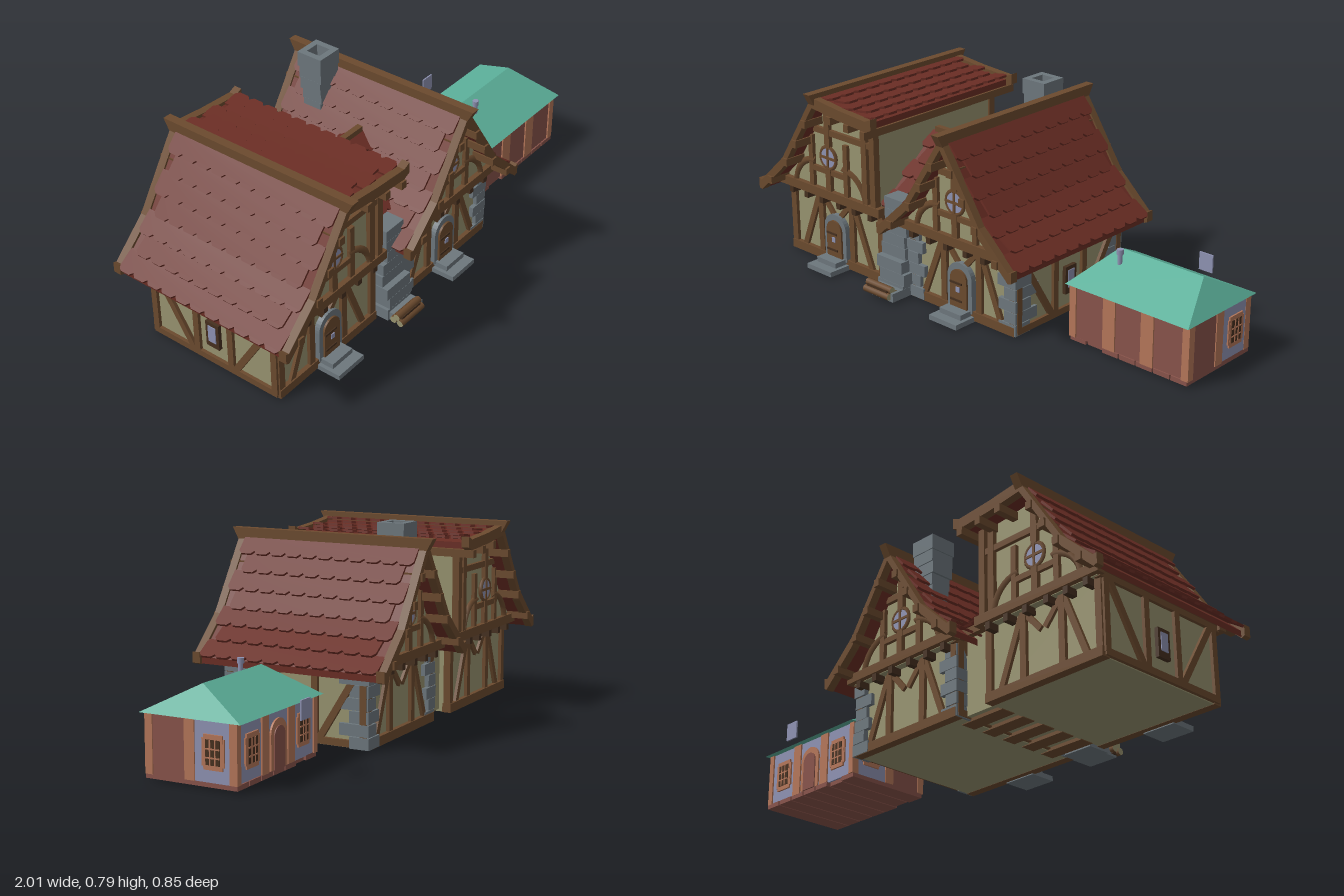
import * as THREE from 'three';

const mat = (name, color) => Object.assign(new THREE.MeshStandardMaterial({ color }), { name });
const M = {
  plaster: mat('plaster', 0x97936f), timber: mat('timber', 0x6b4a2e), dark: mat('darkWood', 0x46301f),
  tile: mat('roofTile', 0x6a2d24), stone: mat('stone', 0x6d777d), teal: mat('tealRoof', 0x5cb09a),
  lavender: mat('lavender', 0x8e92b2), clay: mat('clayTrim', 0xb47659), maroon: mat('maroon', 0x88534a),
};
let seed = 7;
const rnd = () => (seed = (seed * 16807) % 2147483647) / 2147483647;

function add(parent, name, geo, material, x = 0, y = 0, z = 0) {
  const m = new THREE.Mesh(geo, material);
  m.name = name;
  m.position.set(x, y, z);
  parent.add(m);
  return m;
}
const box = (p, name, m, w, h, d, x, y, z) => add(p, name, new THREE.BoxGeometry(w, h, d), m, x, y, z);
const group = (p, name, x = 0, y = 0, z = 0) => {
  const g = new THREE.Group();
  g.name = name;
  g.position.set(x, y, z);
  if (p) p.add(g);
  return g;
};
const poly = (pts) => new THREE.Shape(pts.map(([x, y]) => new THREE.Vector2(x, y)));
const extrude = (shape, depth) => new THREE.ExtrudeGeometry(shape, { depth, bevelEnabled: false, curveSegments: 8 });

// Square timber between two points
function beam(p, name, a, b, w = 0.028, m = M.timber) {
  const A = new THREE.Vector3(...a), B = new THREE.Vector3(...b), d = B.clone().sub(A);
  const k = box(p, name, m, w, d.length(), w, 0, 0, 0);
  k.position.copy(A).add(B).multiplyScalar(0.5);
  k.quaternion.setFromUnitVectors(new THREE.Vector3(0, 1, 0), d.normalize());
}

// Band that follows a roof profile, extruded along z
function band(p, name, m, path, s, thick, z, depth) {
  const pts = [...path, ...path.map(([x, y]) => [x, y - thick]).reverse()].map(([x, y]) => [s * x, y]);
  add(p, name, extrude(poly(pts), depth), m, 0, 0, z);
}

// Overlapping courses of scalloped tiles down one side of a roof
function roofSide(p, path, s, width, rows, cols) {
  band(p, 'roofDeck', M.tile, path, s, 0.025, -width / 2, width);
  const curve = new THREE.CurvePath();
  for (let i = 1; i < path.length; i++)
    curve.add(new THREE.LineCurve(new THREE.Vector2(...path[i - 1]), new THREE.Vector2(...path[i])));
  const t = width / cols;
  for (let r = 0; r < rows; r++) {
    const a = curve.getPointAt(r / rows), b = curve.getPointAt((r + 1) / rows);
    const n = cols - (r % 2), L = a.distanceTo(b), x0 = (-n * t) / 2;
    const pts = [[x0, 0], [x0, L]];
    for (let j = 0; j < n; j++) {
      const x = x0 + j * t;
      pts.push([x + t * 0.2, L + 0.014], [x + t * 0.8, L + 0.014], [x + t, L]);
    }
    pts.push([x0 + n * t, 0]);
    const nx = (a.y - b.y) / L, ny = (b.x - a.x) / L, lift = 0.013;
    const down = new THREE.Vector3(s * (b.x + nx * lift - a.x), b.y + ny * lift - a.y, 0).normalize();
    const u = new THREE.Vector3(0, 0, s), out = new THREE.Vector3().crossVectors(u, down);
    const k = add(p, 'tileCourse', extrude(poly(pts), 0.009), M.tile, s * a.x, a.y, 0);
    k.quaternion.setFromRotationMatrix(new THREE.Matrix4().makeBasis(u, down, out));
  }
}

function arch(w, h) {
  const s = new THREE.Shape(), r = w / 2;
  s.moveTo(-r, 0).lineTo(r, 0).lineTo(r, h - r);
  s.absarc(0, h - r, r, 0, Math.PI, false);
  return s.lineTo(-r, 0);
}

function door(p) {
  const g = group(p, 'frontDoor', 0, 0.03, 0.285);
  add(g, 'doorSurround', extrude(arch(0.125, 0.19), 0.022), M.stone);
  add(g, 'doorLeaf', extrude(arch(0.085, 0.165), 0.03), M.timber);
  for (const y of [0.04, 0.11]) box(g, 'hinge', M.dark, 0.06, 0.008, 0.006, -0.01, y, 0.031);
  box(g, 'doorWindow', M.lavender, 0.018, 0.02, 0.006, 0, 0.085, 0.031);
  box(g, 'lowerStep', M.stone, 0.14, 0.02, 0.11, 0, -0.02, 0.06);
  box(g, 'upperStep', M.stone, 0.11, 0.022, 0.07, 0, 0, 0.04);
}

// Half-timbered gable wall details on face z
function gableFrame(p, z, open) {
  const f = Math.sign(z), lo = f * 0.285, up = f * 0.318;
  const b = (x1, y1, x2, y2, zz, w) => beam(p, 'wallTimber', [x1, y1, zz], [x2, y2, zz], w);
  b(-0.27, 0.022, 0.27, 0.022, lo, 0.036);
  b(-0.29, 0.31, 0.29, 0.31, up, 0.036);
  b(-0.09, 0.405, 0.09, 0.405, up, 0.022);
  b(0, 0.3, 0, 0.42, up);
  b(0, 0.51, 0, 0.68, up);
  b(-0.08, 0.57, open ? 0.24 : 0.08, 0.57, up, 0.024);
  for (const s of [-1, 1]) {
    b(s * 0.09, 0.02, s * 0.09, 0.3, lo);
    b(s * 0.1, 0.28, s * 0.2, 0.03, lo, 0.025);
    b(s * 0.08, 0.28, s * 0.01, 0.2, lo, 0.022);
    b(s * 0.255, 0.02, s * 0.255, 0.3, lo);
    b(s * 0.1, 0.31, s * 0.1, 0.54, up, 0.024);
    const arc = add(p, 'curvedBrace', new THREE.TorusGeometry(0.125, 0.014, 4, 8, Math.PI / 2), M.timber, s * 0.08, 0.31, f * 0.322);
    if (s < 0) arc.rotation.z = Math.PI / 2;
    for (const x of [0.05, 0.14, 0.23]) box(p, 'joistEnd', M.dark, 0.022, 0.03, 0.05, s * x, 0.278, f * 0.305);
  }
  if (open) b(0.21, 0.31, 0.21, 0.67, up), b(0.255, 0.3, 0.255, 0.67, up);
  // round window
  const w = group(p, 'roundWindow', 0, 0.465, f * 0.325);
  add(w, 'glass', new THREE.CylinderGeometry(0.042, 0.042, 0.008, 16), M.lavender).rotation.x = Math.PI / 2;
  add(w, 'frame', new THREE.TorusGeometry(0.044, 0.009, 4, 16), M.timber);
  box(w, 'bar', M.timber, 0.085, 0.01, 0.016, 0, 0, 0);
  box(w, 'bar', M.timber, 0.01, 0.085, 0.016, 0, 0, 0);
}

// Long wall timbers on the side facing x
function sideFrame(p, x) {
  const b = (z1, y1, z2, y2) => beam(p, 'sideTimber', [x, y1, z1], [x, y2, z2], 0.026);
  b(-0.29, 0.022, 0.29, 0.022);
  b(-0.31, 0.3, 0.31, 0.3);
  for (const s of [-1, 1]) {
    b(s * 0.28, 0.02, s * 0.28, 0.3);
    b(s * 0.08, 0.02, s * 0.08, 0.3);
    b(s * 0.26, 0.29, s * 0.1, 0.03);
  }
  box(p, 'sideWindow', M.dark, 0.03, 0.11, 0.06, x, 0.14, 0);
  box(p, 'sideWindowGlass', M.lavender, 0.036, 0.07, 0.035, x, 0.145, 0);
}

const STEEP = [[0, 0.715], [0.19, 0.425], [0.33, 0.295]];
const FLAT = [[0, 0.715], [0.15, 0.698], [0.3, 0.688]];

function timberHouse(root, name, cx, open) {
  const g = group(root, name, cx);
  box(g, 'lowerWalls', M.plaster, 0.53, 0.3, 0.57, 0, 0.155, 0);
  const right = open ? [[0.26, 0.29], [0.26, 0.68]] : [[0.27, 0.29], [0.27, 0.33], [0.18, 0.42]];
  add(g, 'gableWalls', extrude(poly([[-0.18, 0.42], [-0.27, 0.33], [-0.27, 0.29], ...right, [0, 0.695]]), 0.63), M.plaster, 0, 0, -0.315);
  for (const z of [-1, 1]) gableFrame(g, z, open);
  for (const s of [-1, 1]) {
    const path = open && s > 0 ? FLAT : STEEP, flat = path === FLAT;
    roofSide(g, path, s, 0.74, flat ? 5 : 7, 11);
    const edge = [...path.map(([x, y]) => [x, y + 0.014]), flat ? [0.33, 0.715] : [0.345, 0.315]];
    for (const z of [-0.4, 0.368]) band(g, 'bargeboard', M.timber, edge, s, 0.042, z, 0.032);
    // purlins poking past the gables
    const spots = flat ? [[0.1, 0.66], [0.2, 0.652], [0.29, 0.645]] : [[0.05, 0.61], [0.11, 0.515], [0.17, 0.425], [0.27, 0.325]];
    for (const [x, y] of spots) box(g, 'purlin', M.timber, 0.026, 0.03, 0.815, s * x, y, 0);
    if (!(open && s > 0)) sideFrame(g, s * 0.265);
  }
  const ridge = extrude(poly([[-0.425, 0.746], [-0.4, 0.7], [0.4, 0.7], [0.425, 0.746]]), 0.034);
  add(g, 'ridgeBeam', ridge, M.timber, 0.017, 0, 0).rotation.y = -Math.PI / 2;
  door(g);
  return g;
}

function cornerStones(g) {
  for (const sx of [-1, 1]) for (const sz of [-1, 1]) for (let i = 0; i < 6; i++) {
    const w = (i % 2 ? 0.055 : 0.08) + rnd() * 0.01, d = (i % 2 ? 0.11 : 0.075) + rnd() * 0.015, o = rnd() * 0.008;
    box(g, 'cornerStone', M.stone, w, 0.044, d, sx * (0.273 + o - w / 2), 0.028 + i * 0.047, sz * (0.298 + o - d / 2));
  }
}

function chimney(g) {
  const c = group(g, 'chimney', -0.075, 0, -0.235);
  for (let i = 0; i < 5; i++) {
    const w = 0.075 + i * 0.007;
    box(c, 'chimneyStone', M.stone, w, 0.05, w, (rnd() - 0.5) * 0.012, 0.52 + i * 0.047, 0);
  }
  const s = poly([[-0.055, -0.055], [0.055, -0.055], [0.055, 0.055], [-0.055, 0.055]]);
  s.holes.push(poly([[-0.03, -0.03], [-0.03, 0.03], [0.03, 0.03], [0.03, -0.03]]));
  add(c, 'chimneyTop', extrude(s, 0.06), M.stone, 0, 0.732, 0).rotation.x = -Math.PI / 2;
}

function link(root) {
  const g = group(root, 'linkBuilding', -0.3);
  box(g, 'linkWalls', M.plaster, 0.2, 0.32, 0.5, 0, 0.175, 0);
  for (const z of [-0.2, -0.1, 0, 0.1, 0.2]) box(g, 'floorPlank', M.timber, 0.2, 0.02, 0.06, 0, 0.012, z);
  const r = group(g, 'linkRoof', 0.06);
  r.rotation.y = Math.PI / 2;
  for (const s of [-1, 1]) {
    roofSide(r, [[0, 0.555], [0.28, 0.325]], s, 0.32, 5, 5);
    box(r, 'eaveBeam', M.timber, 0.024, 0.03, 0.19, s * 0.28, 0.315, -0.045);
  }
  box(r, 'linkRidge', M.timber, 0.024, 0.03, 0.29, 0, 0.565, 0.0);
  // stone stack, hearth slab and log pile at the front
  for (let i = 0; i < 8; i++) {
    const w = 0.135 - i * 0.005, d = i < 3 ? 0.1 : 0.075;
    box(g, 'stackStone', M.stone, w + rnd() * 0.012, 0.047, d, -0.002 + (rnd() - 0.5) * 0.02, 0.028 + i * 0.048, 0.245 + d / 2);
  }
  box(g, 'hearthSlab', M.stone, 0.13, 0.035, 0.1, 0, 0.022, 0.35);
  box(g, 'logCrib', M.dark, 0.11, 0.035, 0.035, -0.015, 0.03, 0.39);
  for (const [y, z] of [[0.025, 0.405], [0.03, 0.375], [0.047, 0.39]])
    add(g, 'log', new THREE.CylinderGeometry(0.014, 0.014, 0.135, 8), [M.timber, M.plaster, M.plaster], -0.015, y, z).rotation.z = Math.PI / 2;
}

function cottageWindow(p, x, z, ry) {
  const w = group(p, 'cottageWindow', x, 0.127, z);
  w.rotation.y = ry;
  box(w, 'windowFrame', M.clay, 0.075, 0.12, 0.012, 0, 0, 0);
  box(w, 'windowFrameWide', M.clay, 0.088, 0.095, 0.011, 0, 0, 0);
  box(w, 'pane', M.dark, 0.056, 0.086, 0.016, 0, 0, 0);
  for (const d of [-0.01, 0.01]) box(w, 'bar', M.clay, 0.005, 0.086, 0.02, d, 0, 0);
  for (const d of [-0.018, 0.012]) box(w, 'bar', M.clay, 0.056, 0.005, 0.02, 0, d, 0);
}

function cottage(root) {
  const g = group(root, 'cottage', 0.725);
  box(g, 'frontWalls', M.maroon, 0.526, 0.21, 0.175, 0, 0.128, 0.0875);
  box(g, 'backWalls', M.lavender, 0.526, 0.21, 0.175, 0, 0.128, -0.0875);
  for (let i = 0; i < 7; i++) box(g, 'floorPlank', M.maroon, 0.07, 0.018, 0.33 + rnd() * 0.035, -0.228 + i * 0.076, 0.016, 0);
  for (const x of [-0.252, -0.085, 0.085, 0.252]) {
    const w = Math.abs(x) > 0.2 ? 0.03 : 0.055;
    box(g, 'pillar', M.clay, w, 0.212, 0.03, x, 0.129, 0.166);
    box(g, 'pillar', M.clay, w * 0.8, 0.212, 0.03, x, 0.129, -0.166);
  }
  for (const s of [-1, 1]) {
    box(g, 'endPillar', M.clay, 0.03, 0.212, 0.04, s * 0.252, 0.129, 0.004);
    cottageWindow(g, s * 0.263, -0.09, Math.PI / 2);
    cottageWindow(g, s * 0.168, -0.176, 0);
  }
  const d = group(g, 'cottageDoor', 0, 0.025, -0.17);
  d.rotation.y = Math.PI;
  add(d, 'doorFrame', extrude(arch(0.105, 0.175), 0.012), M.clay);
  add(d, 'doorway', extrude(arch(0.07, 0.15), 0.016), M.maroon);
  // hipped roof
  const a = 0.273, b = 0.2, r = 0.185, y = 0.232;
  const geo = new THREE.BufferGeometry();
  geo.setAttribute('position', new THREE.Float32BufferAttribute(
    [-a, y, -b, a, y, -b, a, y, b, -a, y, b, -r, 0.335, 0, r, 0.335, 0], 3));
  geo.setIndex([3, 2, 5, 3, 5, 4, 2, 1, 5, 1, 0, 4, 1, 4, 5, 0, 3, 4, 0, 1, 2, 0, 2, 3]);
  const hip = geo.toNonIndexed();
  hip.computeVertexNormals();
  add(g, 'hippedRoof', hip, M.teal);
  add(g, 'stovePipe', new THREE.CylinderGeometry(0.009, 0.009, 0.07, 8), M.lavender, -0.14, 0.315, 0.057);
  add(g, 'pipeCap', new THREE.CylinderGeometry(0.013, 0.013, 0.02, 8), M.lavender, -0.14, 0.35, 0.057);
  box(g, 'hangingPlate', M.lavender, 0.06, 0.07, 0.006, -0.005, 0.24, -0.28);
}

export function createModel() {
  const root = group(null, 'village');
  timberHouse(root, 'leftHouse', -0.66, true);
  const main = timberHouse(root, 'mainHouse', 0.03, false);
  cornerStones(main);
  chimney(main);
  link(root);
  cottage(root);
  return root;
}
